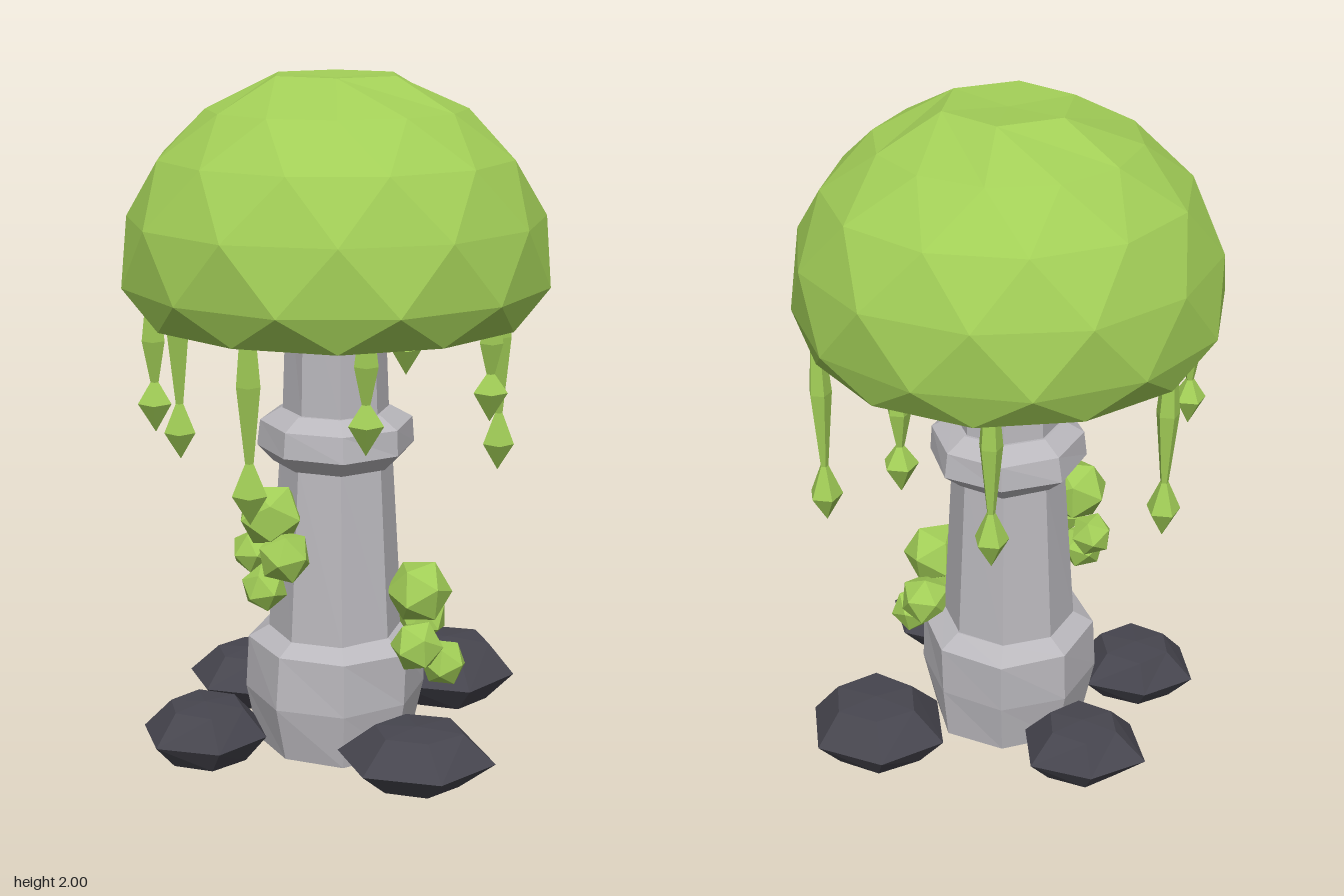
import * as THREE from 'three';

const leafGreen = new THREE.MeshStandardMaterial({ color: 0xa2ce57, side: THREE.DoubleSide });
const stoneGrey = new THREE.MeshStandardMaterial({ color: 0xbab8bd });
const darkRock = new THREE.MeshStandardMaterial({ color: 0x47464f });
leafGreen.name = 'leafGreen';
stoneGrey.name = 'stoneGrey';
darkRock.name = 'darkRock';

// Repeatable noise in -1..1
const noise = (a, b) => {
  const s = Math.sin(a * 127.1 + b * 311.7 + 4.2) * 43758.5453;
  return 2 * (s - Math.floor(s)) - 1;
};

// Faceted solid from rings [y, radius, sides, turn in steps], bottom to top
function ringSolid(rings, jitter = 0, seed = 0) {
  const pos = [];
  const loops = rings.map(([y, r, n, turn = 0], k) =>
    Array.from({ length: n }, (_, i) => {
      const a = ((i + turn) / n) * Math.PI * 2;
      const rr = r * (1 + jitter * noise(seed + k, i));
      return [rr * Math.sin(a), y, rr * Math.cos(a)];
    }));
  for (let k = 0; k + 1 < rings.length; k++) {
    const A = loops[k], B = loops[k + 1];
    const na = A.length, nb = B.length;
    const ta = rings[k][3] || 0, tb = rings[k + 1][3] || 0;
    let i = na === 1 ? 1 : 0, j = nb === 1 ? 1 : 0;
    while (i < na || j < nb) {
      const nextA = i < na ? (i + 1 + ta) / na : Infinity;
      const nextB = j < nb ? (j + 1 + tb) / nb : Infinity;
      if (nextA <= nextB) {
        pos.push(...A[i % na], ...A[(i + 1) % na], ...B[j % nb]);
        i++;
      } else {
        pos.push(...A[i % na], ...B[(j + 1) % nb], ...B[j % nb]);
        j++;
      }
    }
  }
  const geo = new THREE.BufferGeometry();
  geo.setAttribute('position', new THREE.Float32BufferAttribute(pos, 3));
  geo.computeVertexNormals();
  return geo;
}

export function createModel() {
  const model = new THREE.Group();
  model.name = 'mushroomTree';
  const add = (name, geo, mat, x = 0, y = 0, z = 0) => {
    const m = new THREE.Mesh(geo, mat);
    m.name = name;
    m.position.set(x, y, z);
    model.add(m);
    return m;
  };

  // Stone column: plinth, shaft, collar and neck
  const N = 8, T = 0.1;
  add('plinth', ringSolid([[0, 0, 1], [0, 0.24, N, T], [0.17, 0.27, N, T], [0.33, 0.265, N, T],
    [0.365, 0.2, N, T], [0.365, 0, 1]], 0.03, 1), stoneGrey);
  add('shaft', ringSolid([[0.36, 0.2, N, T], [0.89, 0.167, N, T]], 0.02, 9), stoneGrey);
  add('collar', ringSolid([[0.88, 0.165, N, T], [0.88, 0.185, N, T], [0.93, 0.235, N, T],
    [1.005, 0.225, N, T], [1.04, 0.165, N, T], [1.04, 0, 1]], 0.02, 14), stoneGrey);
  add('neck', ringSolid([[1.03, 0.155, N, T], [1.46, 0.14, N, T], [1.46, 0, 1]], 0.02, 20), stoneGrey);

  // Open faceted canopy
  add('canopy', ringSolid([
    [1.32, 0.56, 12, 0], [1.42, 0.613, 12, 0.5], [1.6, 0.598, 12, 0],
    [1.77, 0.515, 12, 0.5], [1.9, 0.37, 12, 0], [1.995, 0.19, 6, 0], [1.985, 0, 1],
  ], 0.012, 31), leafGreen);

  // Hanging vines: x, z, tip height
  const vines = [
    [0.5, -0.22, 0.78], [-0.475, -0.21, 0.82], [-0.235, 0.465, 0.83], [-0.03, -0.475, 0.84],
    [0.425, 0.25, 1.06], [0.075, 0.49, 1.03], [0.225, -0.43, 1.03], [-0.515, 0.13, 1.0],
  ];
  vines.forEach(([x, z, tip]) => {
    const len = 1.38 - tip;
    add('vine', ringSolid([
      [0, 0, 1], [0.085, 0.05, 5], [0.085 + len * 0.16, 0.012, 5],
      [len * 0.7, 0.034, 5], [len, 0.02, 5],
    ]), leafGreen, x, tip, z);
  });

  // Leaf clumps on the column: x, y, z, radius
  const clumps = [
    [-0.19, 0.745, 0.12, 0.1], [-0.15, 0.64, 0.18, 0.082], [-0.245, 0.62, 0.07, 0.067], [-0.21, 0.53, 0.14, 0.07],
    [0.245, 0.495, 0.08, 0.1], [0.235, 0.355, 0.165, 0.08], [0.26, 0.38, -0.01, 0.082], [0.32, 0.27, 0.085, 0.073],
  ];
  clumps.forEach(([x, y, z, r], i) => {
    const m = add('leafClump', new THREE.IcosahedronGeometry(r, 0), leafGreen, x, y, z);
    m.rotation.set(i * 0.7, i * 1.3, i * 0.4);
  });

  // Rocks around the foot: x, z, half width, half depth, height, turn
  const rocks = [
    [-0.39, 0.15, 0.19, 0.17, 0.175], [0.23, 0.33, 0.22, 0.18, 0.175],
    [0.36, -0.29, 0.22, 0.2, 0.2], [-0.27, -0.27, 0.19, 0.17, 0.175],
  ];
  rocks.forEach(([x, z, w, d, h], i) => {
    const m = add('rock', ringSolid([
      [0, 0, 1], [0, 0.62, 6, 0.2], [0.45, 1, 6, 0.25], [0.95, 0.6, 6, 0.2], [1, 0, 1],
    ], 0.08, 50 + i * 7), darkRock, x, 0, z);
    m.scale.set(w, h, d);
  });

  return model;
}
